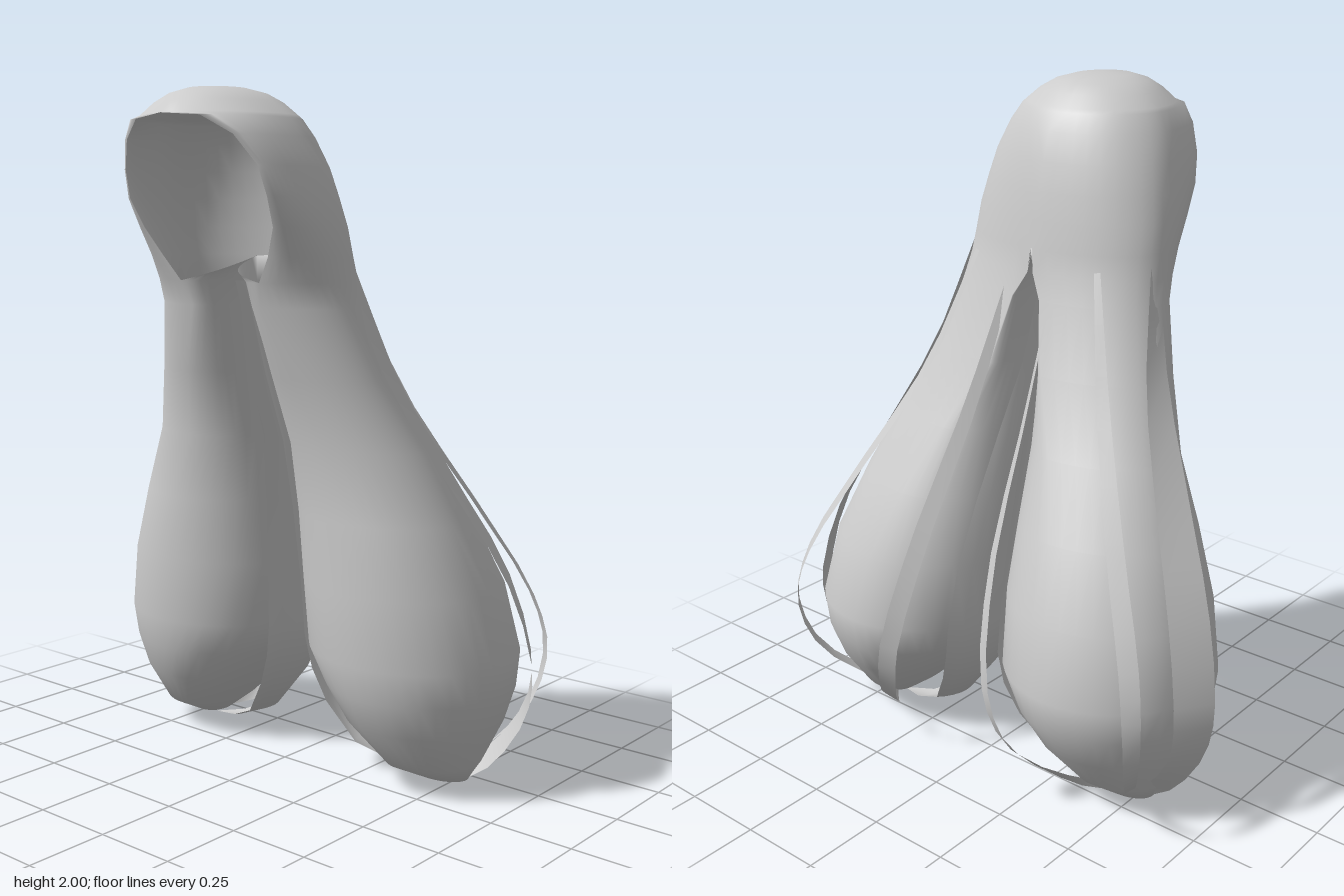
import * as THREE from 'three';
import { mergeVertices, mergeGeometries } from 'three/addons/utils/BufferGeometryUtils.js';

const material = new THREE.MeshStandardMaterial({ color: 0xcccccc, side: THREE.DoubleSide });
const STEPS = 10; // segments per quarter arc

// Crown sections: y, outer x, side z, back x, back z, front x, front z
const CROWN = [
  [2.0, 0, 0.28, 0, 0.28, 0, 0.28],
  [1.995, 0.08, 0.28, 0, 0.19, 0, 0.37],
  [1.98, 0.135, 0.27, 0, 0.14, 0, 0.42],
  [1.955, 0.18, 0.26, 0, 0.105, 0, 0.46],
  [1.92, 0.22, 0.25, 0, 0.07, 0, 0.5],
  [1.91, 0.23, 0.245, 0, 0.06, 0.12, 0.475],
  [1.86, 0.26, 0.23, 0, 0.03, 0.2, 0.435],
  [1.78, 0.292, 0.2, 0, 0.005, 0.25, 0.395],
  [1.7, 0.312, 0.18, 0, -0.015, 0.26, 0.37],
  [1.62, 0.33, 0.16, 0, -0.03, 0.245, 0.33],
  [1.54, 0.336, 0.14, 0, -0.045, 0.2, 0.3],
];
// Tail sections: the same, then inner x of the tail and of its inner lock
const TAIL = [
  [1.47, 0.342, 0.12, 0.01, -0.055, 0.15, 0.28, 0.02, 0.003],
  [1.4, 0.352, 0.1, 0.05, -0.075, 0.13, 0.255, 0.035, 0.005],
  [1.2, 0.405, 0.05, 0.1, -0.13, 0.2, 0.205, 0.045, 0.01],
  [1.0, 0.49, -0.03, 0.2, -0.22, 0.25, 0.15, 0.05, 0.012],
  [0.8, 0.58, -0.08, 0.28, -0.32, 0.32, 0.15, 0.05, 0.02],
  [0.6, 0.655, -0.12, 0.34, -0.41, 0.36, 0.155, 0.05, 0.028],
  [0.4, 0.69, -0.14, 0.37, -0.46, 0.38, 0.15, 0.06, 0.035],
  [0.3, 0.68, -0.145, 0.375, -0.445, 0.39, 0.13, 0.12, 0.055],
  [0.2, 0.65, -0.15, 0.39, -0.4, 0.4, 0.095, 0.2, 0.1],
  [0.08, 0.595, -0.15, 0.42, -0.31, 0.43, 0.01, 0.33, 0.19],
  [0.02, 0.555, -0.17, 0.46, -0.23, 0.46, -0.11, 0.41, 0.33],
  [0, 0.46, -0.17, 0.46, -0.17, 0.46, -0.17, 0.46, 0.45],
];

// Two quarter ellipses: back point, side extreme, front point
function arc([y, xo, zm, xb, zb, xf, zf], side = xo) {
  const points = [];
  for (let i = 0; i <= STEPS * 2; i++) {
    const a = (i / STEPS) * Math.PI / 2;
    const [x, z] = i <= STEPS ? [xb, zb] : [xf, zf];
    points.push(new THREE.Vector3(x + (side - x) * Math.sin(a), y, zm + (z - zm) * Math.abs(Math.cos(a))));
  }
  return points;
}

// Surface through equal rows of points
function loft(rows) {
  const n = rows[0].length, index = [];
  for (let r = 0; r < rows.length - 1; r++) {
    for (let i = 0; i < n - 1; i++) {
      const a = r * n + i, b = a + n;
      index.push(a, a + 1, b, a + 1, b + 1, b);
    }
  }
  const g = new THREE.BufferGeometry().setFromPoints(rows.flat());
  g.setIndex(index);
  return g;
}

function mirrored(g) {
  const m = g.clone().scale(-1, 1, 1);
  const ix = m.index.array;
  for (let i = 0; i < ix.length; i += 3) [ix[i], ix[i + 1]] = [ix[i + 1], ix[i]];
  return m;
}

function smooth(parts) {
  const g = mergeVertices(mergeGeometries(parts), 1e-4);
  g.computeVertexNormals();
  return g;
}

function mesh(name, geometry) {
  const m = new THREE.Mesh(geometry, material);
  m.name = name;
  return m;
}

// Flat lock lying along the tail, facing away from an axis that ends at axisZ
function strand(points, width, axisZ = -0.15) {
  const curve = new THREE.CatmullRomCurve3(points.map(p => new THREE.Vector3(...p)));
  const left = [], right = [], n = 16;
  for (let i = 0; i <= n; i++) {
    const t = i / n, p = curve.getPoint(t);
    const k = THREE.MathUtils.clamp((1.5 - p.y) / 1.1, 0, 1);
    const out = new THREE.Vector3(p.x - (0.18 + 0.2 * k), 0, p.z - THREE.MathUtils.lerp(0.1, axisZ, k));
    const across = curve.getTangent(t).cross(out).normalize();
    const w = width * (0.35 + 0.65 * Math.sin(Math.PI * t)) / 2;
    left.push(p.clone().addScaledVector(across, -w));
    right.push(p.clone().addScaledVector(across, w));
  }
  return loft([left, right]);
}

export function createModel() {
  const group = new THREE.Group();

  // Crown and outer tail faces run on as one skin
  const outer = loft([...CROWN, ...TAIL].map(s => arc(s)));

  // Inner tail faces, with the top edge rising to the parting
  const inner = TAIL.map(s => arc(s, s[7]).reverse());
  const top = inner[0].map((p, i) => {
    const t = Math.min(1, i / STEPS);
    return new THREE.Vector3(p.x * (1 - t), 1.47 + 0.07 * t, i === 2 * STEPS ? -0.045 : p.z);
  });
  const innerFace = loft([top, ...inner]);
  group.add(mesh('hair', smooth([outer, mirrored(outer), innerFace, mirrored(innerFace)])));

  // Loose locks around each tail
  const locks = {
    InnerLock: loft(TAIL.map(s => arc(s, s[8]).slice(6, 14).reverse())),
    SideLock: strand([[0.325, 1.5, 0.1], [0.405, 1.2, 0.01], [0.545, 0.9, -0.1], [0.665, 0.65, -0.19],
      [0.725, 0.4, -0.235], [0.71, 0.26, -0.235], [0.61, 0.1, -0.21], [0.5, 0.02, -0.18]], 0.125, -0.02),
    OuterBackLock: strand([[0.22, 1.5, -0.03], [0.33, 1.15, -0.14], [0.5, 0.8, -0.3], [0.62, 0.55, -0.4],
      [0.655, 0.38, -0.43], [0.62, 0.2, -0.38], [0.49, 0.02, -0.2]], 0.055),
    InnerBackLock: strand([[0.08, 1.42, -0.06], [0.1, 1.1, -0.2], [0.14, 0.7, -0.4], [0.19, 0.38, -0.49],
      [0.24, 0.2, -0.45], [0.36, 0.06, -0.3], [0.45, 0.02, -0.2]], 0.055),
  };
  for (const [name, g] of Object.entries(locks)) {
    group.add(mesh('left' + name, smooth([g])), mesh('right' + name, smooth([mirrored(g)])));
  }
  return group;
}
